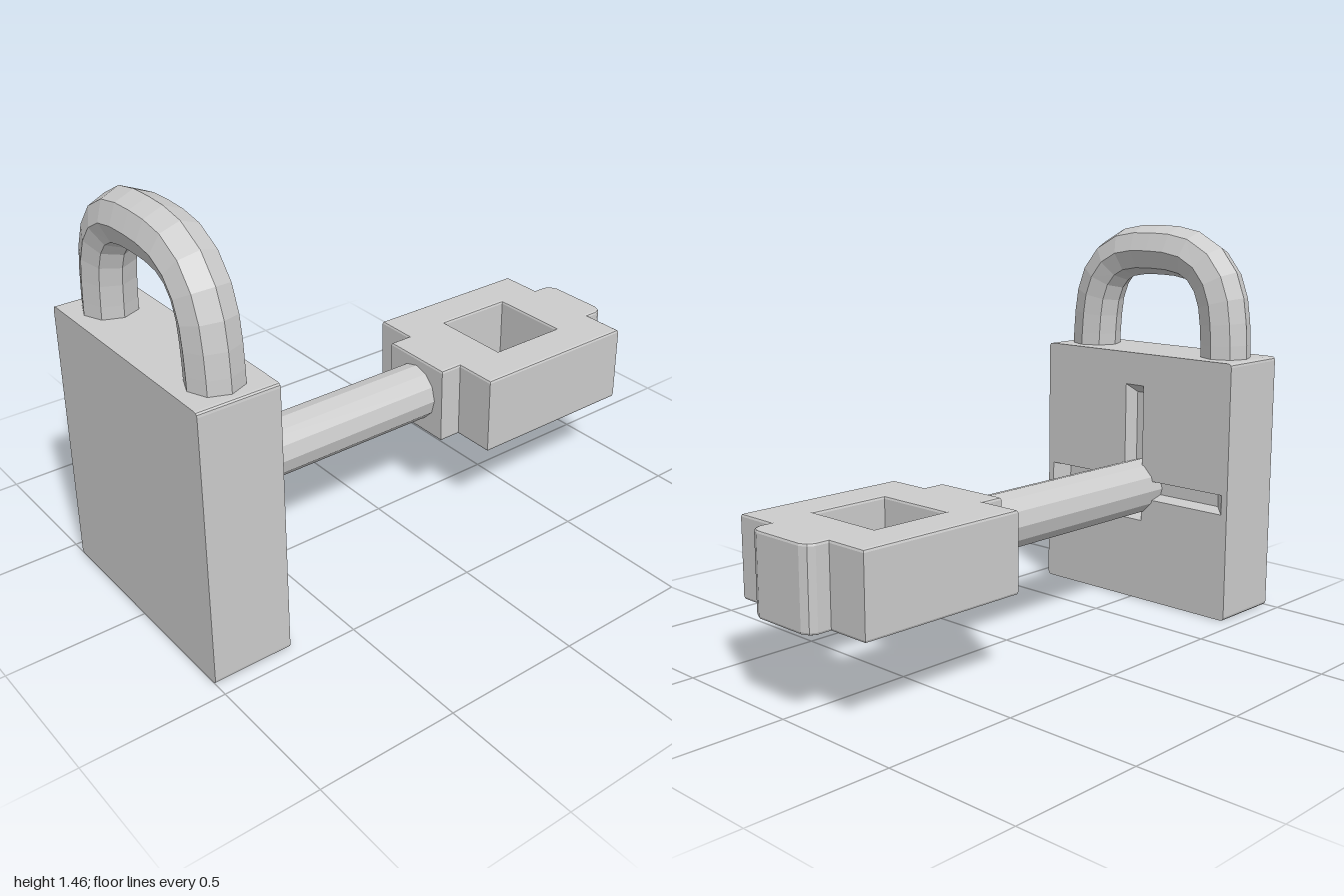
import * as THREE from 'three';

const material = new THREE.MeshStandardMaterial({ color: 0xcccccc, flatShading: true });

function addPart(group, name, geometry) {
  const mesh = new THREE.Mesh(geometry, material);
  mesh.name = name;
  group.add(mesh);
  return mesh;
}

const toPoints = (list) => list.map(([x, y]) => new THREE.Vector2(x, y));

// Upright rectangle with small rounded corners
function bodyShape() {
  const w = 0.445, h = 0.98, r = 0.015;
  const s = new THREE.Shape();
  s.moveTo(-w + r, 0);
  s.lineTo(w - r, 0);
  s.quadraticCurveTo(w, 0, w, r);
  s.lineTo(w, h - r);
  s.quadraticCurveTo(w, h, w - r, h);
  s.lineTo(-w + r, h);
  s.quadraticCurveTo(-w, h, -w, h - r);
  s.lineTo(-w, r);
  s.quadraticCurveTo(-w, 0, -w + r, 0);
  return s;
}

// Cross-shaped keyway outline: half width of upright, half length of bar, levels
function crossPoints(a, b, bottom, low, high, top) {
  return [[-a, bottom], [a, bottom], [a, low], [b, low], [b, high], [a, high],
    [a, top], [-a, top], [-a, high], [-b, high], [-b, low], [-a, low]];
}

function createBody(group) {
  const depth = 0.285, slot = 0.05;
  const options = { bevelEnabled: false, curveSegments: 3 };

  // Solid rear of the body, whose front is the floor of the keyway
  const rear = new THREE.ExtrudeGeometry(bodyShape(), { ...options, depth: depth - slot });
  rear.rotateY(Math.PI / 2);
  addPart(group, 'lockBody', rear).position.x = -1;

  // Front plate with the keyway, tapering towards its floor
  const outer = crossPoints(0.043, 0.42, 0.32, 0.41, 0.485, 0.855);
  const inner = crossPoints(0.025, 0.37, 0.35, 0.425, 0.475, 0.82);
  const shape = bodyShape();
  shape.holes.push(new THREE.Path(toPoints(outer)));
  const plate = new THREE.ExtrudeGeometry(shape, { ...options, depth: slot });
  const pos = plate.attributes.position;
  for (let i = 0; i < pos.count; i++) {
    if (pos.getZ(i) > 1e-4) continue;
    const k = outer.findIndex(([x, y]) =>
      Math.abs(x - pos.getX(i)) < 1e-4 && Math.abs(y - pos.getY(i)) < 1e-4);
    if (k >= 0) pos.setXY(i, ...inner[k]);
  }
  plate.computeVertexNormals();
  plate.rotateY(Math.PI / 2);
  addPart(group, 'keyholePlate', plate).position.x = -1 + depth - slot;
}

// Eight-sided bar bent into an arch
function createShackle(group) {
  const half = [[0.318, 0.95], [0.312, 1.08], [0.296, 1.19], [0.255, 1.28],
    [0.185, 1.34], [0.1, 1.363], [0, 1.368]];
  const mirrored = half.slice(0, -1).reverse().map(([z, y]) => [-z, y]);
  const path = new THREE.CatmullRomCurve3(
    [...half, ...mirrored].map(([z, y]) => new THREE.Vector3(-0.86, y, z)));
  addPart(group, 'shackle', new THREE.TubeGeometry(path, 16, 0.095, 8, false));
}

function createKey(group) {
  const key = new THREE.Group();
  key.name = 'key';
  group.add(key);

  // Shaft running from the keyway into the head
  const shaft = new THREE.CylinderGeometry(0.105, 0.105, 0.98, 12);
  shaft.rotateZ(Math.PI / 2);
  addPart(key, 'keyShaft', shaft).position.set(-0.28, 0.45, 0);

  // Stepped head with a square window and a chamfered tip
  const upper = [[0.175, 0.145], [0.26, 0.145], [0.26, 0.305], [0.915, 0.305],
    [0.915, 0.145], [0.965, 0.145], [0.988, 0.132], [1, 0.105]];
  const lower = upper.map(([x, z]) => [x, -z]).reverse();
  const shape = new THREE.Shape(toPoints([...upper, ...lower]));
  shape.holes.push(new THREE.Path(
    toPoints([[0.44, -0.15], [0.74, -0.15], [0.74, 0.15], [0.44, 0.15]])));
  const bevel = 0.01;
  const head = new THREE.ExtrudeGeometry(shape, {
    depth: 0.29 - 2 * bevel, bevelThickness: bevel, bevelSize: bevel,
    bevelOffset: -bevel, bevelSegments: 2,
  });
  head.rotateX(-Math.PI / 2);
  addPart(key, 'keyHead', head).position.y = 0.3 + bevel;
}

export function createModel() {
  const model = new THREE.Group();
  model.name = 'padlockWithKey';
  createBody(model);
  createShackle(model);
  createKey(model);
  return model;
}
